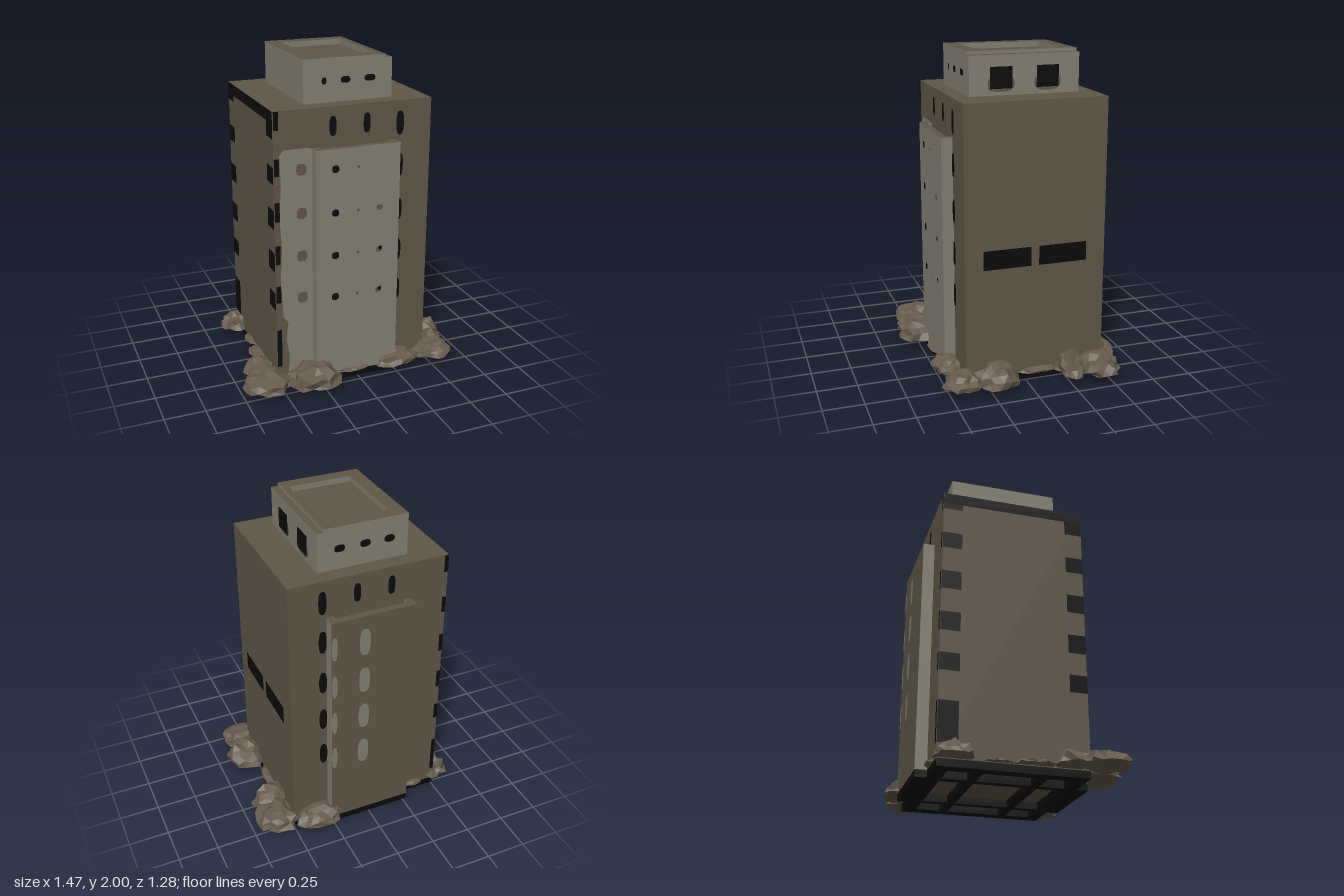
import * as THREE from 'three';

const mat = (name, color, opts = {}) => {
  const m = new THREE.MeshStandardMaterial({ color, ...opts });
  m.name = name;
  return m;
};

export function createModel() {
  const brown = mat('brown concrete', 0x5f5646);
  const grey = mat('grey concrete', 0x838072);
  const black = mat('black', 0x0b0b0b);
  const stone = mat('rubble stone', 0x675b4d, { flatShading: true });
  const root = new THREE.Group();
  root.name = 'tower';

  const add = (name, geometry, material) => {
    const mesh = new THREE.Mesh(geometry, material);
    mesh.name = name;
    root.add(mesh);
    return mesh;
  };

  // Box given by its limits on each axis
  const block = (name, material, x0, x1, y0, y1, z0, z1) => {
    const g = new THREE.BoxGeometry(x1 - x0, y1 - y0, z1 - z0);
    g.translate((x0 + x1) / 2, (y0 + y1) / 2, (z0 + z1) / 2);
    return add(name, g, material);
  };

  // Hollow rectangular frame: brown rim, grey walls
  const frame = (name, [x0, x1, z0, z1], [hx0, hx1, hz0, hz1], y0, y1) => {
    const rect = (C, a, b, c, d) => {
      const p = new C();
      p.moveTo(a, -c);
      p.lineTo(a, -d);
      p.lineTo(b, -d);
      p.lineTo(b, -c);
      p.closePath();
      return p;
    };
    const shape = rect(THREE.Shape, x0, x1, z0, z1);
    shape.holes.push(rect(THREE.Path, hx0, hx1, hz0, hz1));
    const g = new THREE.ExtrudeGeometry(shape, { depth: y1 - y0, bevelEnabled: false });
    g.rotateX(-Math.PI / 2).translate(0, y0, 0);
    return add(name, g, [brown, grey]);
  };

  // Painted mark on a wall: u is x on front/back, z on left/right; d is the wall's plane
  const turn = { front: 0, back: Math.PI, right: Math.PI / 2, left: -Math.PI / 2 };
  const mark = (name, material, face, d, u, y, w, h, round = true) => {
    let g = new THREE.PlaneGeometry(w, h);
    if (round) {
      const pts = [];
      for (let i = 0; i < 16; i++) {
        const a = (i / 16) * Math.PI * 2, c = Math.cos(a), s = Math.sin(a);
        pts.push(new THREE.Vector2(
          Math.sign(c) * Math.abs(c) ** 0.75 * w / 2,
          Math.sign(s) * Math.abs(s) ** 0.75 * h / 2));
      }
      g = new THREE.ShapeGeometry(new THREE.Shape(pts));
    }
    const mesh = add(name, g, material);
    mesh.rotation.y = turn[face];
    if (face === 'front' || face === 'back') mesh.position.set(u, y, d);
    else mesh.position.set(d, y, u);
  };

  // Main tower
  block('towerBody', brown, -0.51, 0.49, 0.045, 1.74, -0.51, 0.38);

  // Raised front and back panels with a sunken top
  frame('frontPanel', [-0.275, 0.26, 0.36, 0.45], [-0.23, 0.215, 0.37, 0.41], 0.045, 1.505);
  block('frontPanelTop', brown, -0.24, 0.225, 1.4, 1.475, 0.36, 0.42);
  frame('backPanel', [-0.275, 0.26, -0.58, -0.49], [-0.23, 0.215, -0.54, -0.5], 0.045, 1.505);
  block('backPanelTop', brown, -0.24, 0.225, 1.4, 1.475, -0.55, -0.49);
  mark('backPanelFace', brown, 'back', -0.582, -0.0075, 0.775, 0.535, 1.46, false);

  // Rooftop house with a sunken roof and a lower ledge on its left side
  frame('roofHouse', [-0.29, 0.23, -0.41, 0.28], [-0.205, 0.19, -0.325, 0.195], 1.74, 2);
  block('roofFloor', brown, -0.21, 0.195, 1.74, 1.965, -0.33, 0.2);
  block('roofLedge', [grey, grey, brown, grey, grey, grey], 0.23, 0.273, 1.74, 1.98, -0.41, 0.28);

  // Pale wash on the front wall beside the panel
  const wash = new THREE.Shape([
    [-0.27, 0.05], [-0.27, 1.5], [-0.3, 1.51], [-0.45, 1.51], [-0.475, 1.48], [-0.468, 1.3],
    [-0.48, 1.1], [-0.468, 0.9], [-0.48, 0.7], [-0.465, 0.46], [-0.435, 0.42], [-0.45, 0.3],
    [-0.43, 0.2], [-0.44, 0.05],
  ].map(([x, y]) => new THREE.Vector2(x, y)));
  add('paleWash', new THREE.ShapeGeometry(wash), grey).position.z = 0.383;

  // Rows of small openings on the front panel and wash
  for (const y of [1.385, 1.115, 0.845, 0.575]) {
    mark('washSpot', brown, 'front', 0.386, -0.342, y, 0.065, 0.07);
    mark('panelOpening', black, 'front', 0.453, -0.155, y, 0.045, 0.045);
    mark('panelSpeck', brown, 'front', 0.453, -0.01, y, 0.02, 0.02);
    if (y < 1.2) mark('panelSpot', brown, 'front', 0.453, 0.13, y, 0.04, 0.035);
    if (y < 1) mark('panelSpotCore', black, 'front', 0.455, 0.138, y + 0.008, 0.025, 0.025);
  }

  // Front and back wall windows
  for (const [face, d] of [['front', 0.385], ['back', -0.513]]) {
    for (const x of [-0.145, 0.07]) mark('highWindow', black, face, d, x, 1.625, 0.045, 0.12);
    for (const y of [1.605, 1.345, 1.063, 0.795, 0.528])
      mark('sideWindow', black, face, d, 0.285, y, 0.05, 0.148);
  }

  // Pale streaks on the back panel
  for (const y of [1.33, 1.065, 0.8, 0.53]) {
    mark('paleStreak', grey, 'back', -0.585, 0.05, y, 0.07, 0.18);
    mark('edgeStreak', grey, 'back', -0.585, 0.242, y, 0.035, 0.16);
  }

  // Black notches wrapping the right-hand corners
  for (const [y, h] of [[1.685, 0.11], [1.41, 0.105], [1.14, 0.12], [0.87, 0.12], [0.615, 0.11], [0.255, 0.25]]) {
    mark('frontNotch', black, 'front', 0.387, -0.494, y, 0.03, h, false);
    mark('backNotch', black, 'back', -0.514, -0.496, y, 0.026, h, false);
    mark('sideNotch', black, 'left', -0.513, -0.45, y, 0.12, h, false);
    if (y > 0.5) mark('sideNotch', black, 'left', -0.513, 0.325, y - 0.05, 0.11, h, false);
  }
  mark('topBand', black, 'left', -0.514, -0.065, 1.705, 0.89, 0.07, false);

  // Long slots on the left wall
  mark('wallSlot', black, 'right', 0.493, 0.115, 0.8, 0.3, 0.12, false);
  mark('wallSlot', black, 'right', 0.493, -0.237, 0.8, 0.305, 0.12, false);

  // Roof house windows
  for (const [x, w] of [[-0.16, 0.03], [-0.025, 0.06], [0.13, 0.07]])
    mark('roofWindow', black, 'front', 0.283, x, 1.868, w, 0.04);
  for (const x of [0.136, -0.022, -0.173])
    mark('roofWindow', black, 'back', -0.413, x, 1.868, 0.065, 0.045);
  for (const z of [0.083, -0.208]) {
    mark('windowStain', brown, 'right', 0.275, z, 1.81, 0.17, 0.1);
    mark('roofDoorway', black, 'right', 0.278, z, 1.845, 0.14, 0.13, false);
  }

  // Black foundation beams, open between
  for (const [z0, z1] of [[-0.51, -0.43], [-0.28, -0.23], [0.1, 0.15], [0.3, 0.38]])
    block('foundationBeam', black, -0.51, 0.49, 0, 0.045, z0, z1);
  for (const [x0, x1] of [[-0.51, -0.43], [-0.28, -0.23], [0.21, 0.26], [0.41, 0.49]])
    block('foundationBeam', black, x0, x1, 0, 0.044, -0.5, 0.37);
  block('frontFooting', black, -0.275, 0.26, 0, 0.045, 0.38, 0.45);
  block('backFooting', black, -0.275, 0.26, 0, 0.045, -0.58, -0.51);

  // Rubble around the foot: x, z, half width, half depth, height
  const jitter = (x, y, z, s) => {
    const v = Math.sin(x * 12.99 + y * 78.23 + z * 37.72 + s * 4.13) * 43758.5453;
    return v - Math.floor(v);
  };
  const rocks = [
    [-0.59, 0.44, 0.14, 0.14, 0.09], [-0.31, 0.49, 0.16, 0.14, 0.12], [-0.58, 0.26, 0.1, 0.1, 0.09],
    [-0.54, -0.42, 0.11, 0.11, 0.09], [0.33, -0.55, 0.15, 0.11, 0.09], [0.58, -0.45, 0.14, 0.14, 0.1],
    [0.53, -0.28, 0.15, 0.09, 0.12], [0.57, 0.2, 0.13, 0.14, 0.13], [0.53, 0.41, 0.13, 0.12, 0.08],
    [0.27, 0.43, 0.15, 0.1, 0.08], [-0.02, 0.43, 0.13, 0.05, 0.02], [-0.52, 0.05, 0.06, 0.12, 0.03],
    [-0.51, -0.16, 0.04, 0.08, 0.02], [0.5, -0.08, 0.04, 0.12, 0.03], [-0.36, -0.5, 0.07, 0.04, 0.03],
  ];
  rocks.forEach(([x, z, w, d, h], seed) => {
    const g = new THREE.IcosahedronGeometry(1, 2);
    const p = g.attributes.position;
    for (let i = 0; i < p.count; i++) {
      const a = [p.getX(i), p.getY(i), p.getZ(i)].map((v) => Math.round(v * 100) / 100 + 0);
      const k = 0.78 + 0.38 * jitter(...a, seed);
      p.setXYZ(i, a[0] * k * w, Math.max(0, a[1]) * k * h, a[2] * k * d);
    }
    g.computeVertexNormals();
    add('rubble', g, stone).position.set(x, 0.05, z);
  });

  return root;
}
